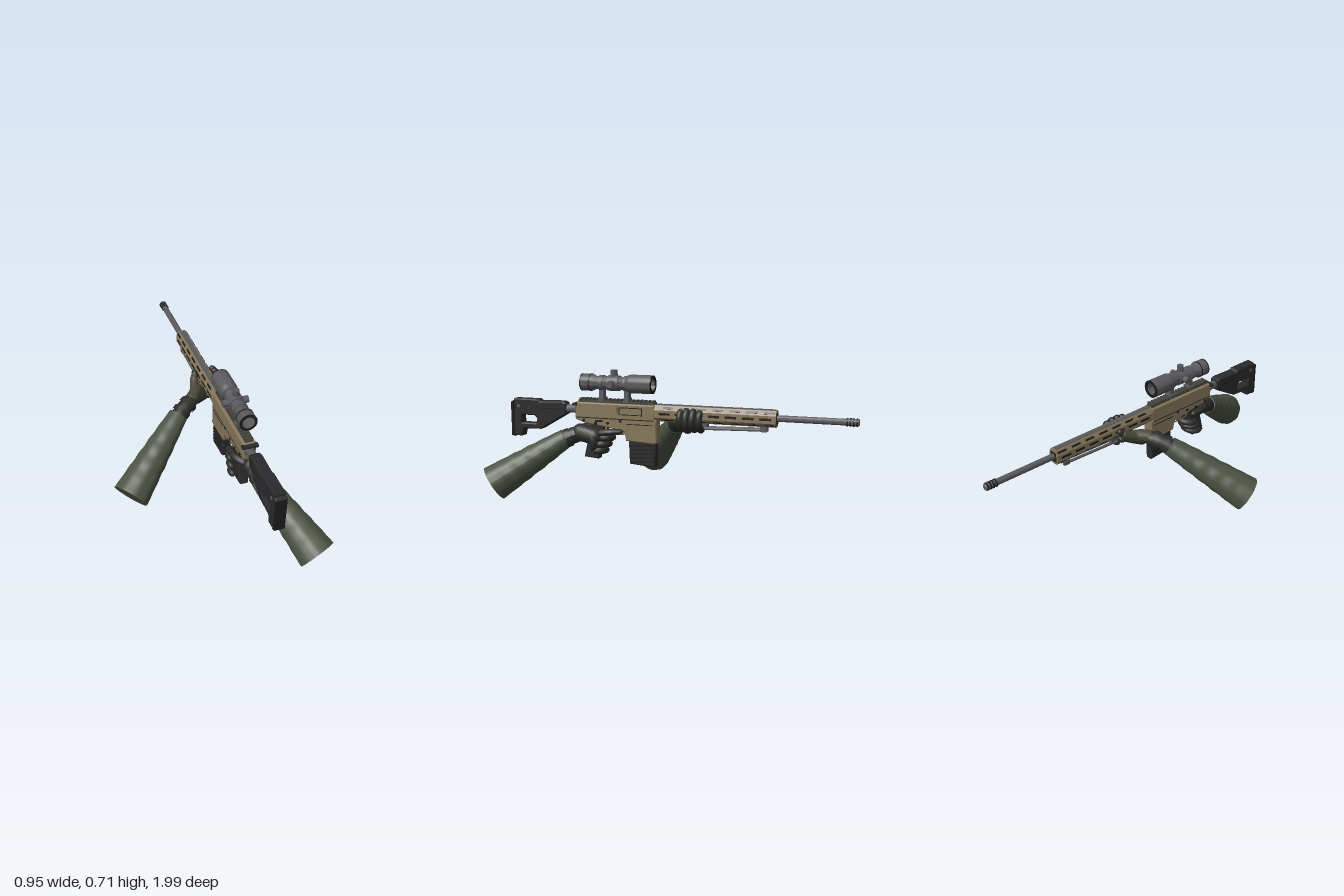
import * as THREE from 'three';
import { toCreasedNormals } from 'three/addons/utils/BufferGeometryUtils.js';

const mat = (name, color) => Object.assign(new THREE.MeshStandardMaterial({ color }), { name });
const V = (x, y, z) => new THREE.Vector3(x, y, z);

export function createModel() {
  const tan = mat('tan receiver', 0x86765a), metal = mat('grey metal', 0x5a5a5d);
  const black = mat('black polymer', 0x2a2a2c), dark = mat('dark recess', 0x1c1c1c);
  const rail = mat('rail grey', 0x45463f), glove = mat('black glove', 0x2d2d2b);
  const olive = mat('olive glove back', 0x4a4a38), sleeve = mat('green sleeve', 0x4d5345);

  const model = new THREE.Group();
  const rifle = new THREE.Group();
  rifle.name = 'rifle';
  rifle.position.x = 0.165;
  model.add(rifle);

  const add = (parent, name, geo, m, x = 0, y = 0, z = 0) => {
    const mesh = new THREE.Mesh(geo, m);
    mesh.name = name;
    mesh.position.set(x, y, z);
    parent.add(mesh);
    return mesh;
  };
  const box = (name, m, w, h, d, x, y, z) => add(rifle, name, new THREE.BoxGeometry(w, h, d), m, x, y, z);
  // side profile of [z, y] points, extruded across x
  const plate = (name, m, pts, width, hole, bevel = 0.006) => {
    const s = new THREE.Shape(pts.map(p => new THREE.Vector2(...p)));
    if (hole) s.holes.push(new THREE.Path(hole.map(p => new THREE.Vector2(...p))));
    const depth = width - 2 * bevel;
    const g = new THREE.ExtrudeGeometry(s, { depth, bevelSize: bevel, bevelOffset: -bevel, bevelThickness: bevel, bevelSegments: 1 });
    g.translate(0, 0, -depth / 2).rotateY(-Math.PI / 2);
    return add(rifle, name, g, m);
  };
  // round part along z from a profile of [radius, z]
  const turned = (name, m, pts, y, sides = 24) => {
    const g = new THREE.LatheGeometry(pts.map(p => new THREE.Vector2(...p)), sides).rotateX(Math.PI / 2);
    return add(rifle, name, toCreasedNormals(g, 0.6), m, 0, y, 0);
  };
  // tapered round limb through points; radius is a function of t and angle
  const limb = (name, m, pts, radius, domed = true, rings = 24, sides = 14) => {
    const curve = new THREE.CatmullRomCurve3(pts.map(p => V(...p)));
    const g = new THREE.TubeGeometry(curve, rings, 1, sides);
    const pos = g.attributes.position, v = V(0, 0, 0), len = curve.getLength();
    for (let i = 0; i <= rings; i++) {
      const t = i / rings, c = curve.getPointAt(t);
      for (let j = 0; j <= sides; j++) {
        let r = radius(t, j / sides * Math.PI * 2);
        if (domed) {
          const e = Math.min(1, Math.min(t, 1 - t) * len / r);
          r *= Math.sqrt(Math.max(0.0001, 1 - (1 - e) ** 2));
        }
        const k = i * (sides + 1) + j;
        v.fromBufferAttribute(pos, k).sub(c).multiplyScalar(r).add(c);
        pos.setXYZ(k, v.x, v.y, v.z);
      }
    }
    g.computeVertexNormals();
    return add(model, name, g, m);
  };
  const taper = (a, b) => t => a + (b - a) * t;

  // barrel and muzzle brake
  turned('barrel', metal, [[0, -0.95], [0.017, -0.95], [0.017, -0.59], [0.02, -0.56], [0.02, 0.05]], 0.5, 16);
  turned('muzzleBrake', metal, [[0, -1], [0.015, -1], [0.019, -0.995], [0.019, -0.935], [0.016, -0.925]], 0.5, 16);
  for (let i = 0; i < 4; i++)
    turned('muzzlePort', dark, [[0.018, -0.992 + i * 0.016], [0.0215, -0.992 + i * 0.016], [0.0215, -0.985 + i * 0.016], [0.018, -0.985 + i * 0.016]], 0.5, 16);

  // handguard with chamfered section
  const hs = new THREE.Shape([[-0.018, 0.455], [0.018, 0.455], [0.035, 0.475], [0.035, 0.515], [0.02, 0.541], [-0.02, 0.541], [-0.035, 0.515], [-0.035, 0.475]].map(p => new THREE.Vector2(...p)));
  add(rifle, 'handguard', new THREE.ExtrudeGeometry(hs, { depth: 0.655, bevelEnabled: false }), tan, 0, 0, -0.59);
  box('handguardTopStrip', metal, 0.028, 0.006, 0.64, 0, 0.541, -0.262);
  box('handguardMuzzleOpening', dark, 0.046, 0.055, 0.004, 0, 0.498, -0.59);
  for (const s of [-1, 1]) for (let i = 0; i < 7; i++) {
    const z = 0.005 - i * 0.09;
    box('sideSlot', dark, 0.004, 0.012, 0.06, s * 0.0345, 0.496, z);
    box('upperSlot', dark, 0.004, 0.011, 0.055, s * 0.0275, 0.528, z - 0.02).rotation.z = s * 0.52;
    box('lowerSlot', dark, 0.004, 0.009, 0.05, s * 0.0265, 0.465, z - 0.02).rotation.z = -s * 0.7;
  }

  // folded bipod under the handguard
  for (const s of [-1, 1]) {
    const leg = add(rifle, 'bipodLeg', new THREE.CylinderGeometry(0.008, 0.008, 0.36, 10).rotateX(Math.PI / 2), metal, s * 0.016, 0.434, -0.36);
    leg.rotation.x = 0.03;
    box('bipodFoot', metal, 0.016, 0.026, 0.035, s * 0.016, 0.442, -0.525);
  }
  box('bipodMount', metal, 0.04, 0.03, 0.05, 0, 0.445, -0.2);

  // receiver
  plate('upperReceiver', tan, [[0.52, 0.45], [0.52, 0.525], [0.505, 0.538], [0.06, 0.538], [0.06, 0.45]], 0.07);
  plate('lowerReceiver', tan, [[0.52, 0.46], [0.05, 0.46], [0.05, 0.335], [0.06, 0.328], [0.225, 0.338], [0.235, 0.388], [0.3, 0.4], [0.47, 0.425], [0.52, 0.445]], 0.062);
  for (const s of [-1, 1]) {
    box('receiverSeam', dark, 0.004, 0.004, 0.44, s * 0.034, 0.456, 0.29);
    box('magazineWellPanel', dark, 0.003, 0.004, 0.15, s * 0.031, 0.43, 0.145);
    for (const [y, z] of [[0.44, 0.47], [0.425, 0.4], [0.43, 0.33], [0.445, 0.255]])
      add(rifle, 'pin', new THREE.CylinderGeometry(0.008, 0.008, 0.006, 12).rotateZ(Math.PI / 2), dark, s * 0.0315, y, z);
  }
  box('ejectionPortFrame', dark, 0.004, 0.042, 0.135, 0.0345, 0.5, 0.195);
  box('ejectionPortCover', tan, 0.008, 0.032, 0.122, 0.0345, 0.5, 0.195);
  box('caseDeflector', tan, 0.018, 0.03, 0.03, 0.038, 0.505, 0.285);
  box('selector', dark, 0.008, 0.01, 0.04, 0.034, 0.44, 0.38);
  box('chargingHandle', black, 0.085, 0.014, 0.025, 0, 0.525, 0.52);

  // trigger and guard
  plate('triggerGuard', tan, [[0.36, 0.41], [0.345, 0.372], [0.25, 0.365], [0.228, 0.39], [0.228, 0.4]], 0.024,
    [[0.345, 0.405], [0.336, 0.38], [0.255, 0.374], [0.236, 0.398]], 0.001);
  plate('trigger', dark, [[0.3, 0.41], [0.285, 0.41], [0.28, 0.383], [0.288, 0.382]], 0.01, null, 0.001);
  plate('pistolGrip', black, [[0.35, 0.42], [0.43, 0.425], [0.475, 0.235], [0.39, 0.228]], 0.05);

  // magazine with ribs
  plate('magazine', black, [[0.212, 0.35], [0.057, 0.35], [0.06, 0.2], [0.207, 0.213]], 0.05);
  for (const s of [-1, 1]) for (let i = 0; i < 5; i++)
    box('magazineRib', dark, 0.006, 0.007, 0.135, s * 0.025, 0.228 + i * 0.022, 0.134).rotation.x = 0.08;

  // buffer tube and stock
  turned('bufferTube', metal, [[0, 0.5], [0.03, 0.5], [0.03, 0.52], [0.023, 0.53], [0.023, 0.6], [0, 0.6]], 0.495, 16);
  plate('stock', black, [[0.58, 0.465], [0.58, 0.525], [0.6, 0.535], [0.74, 0.53], [0.75, 0.54], [0.9, 0.54], [0.905, 0.33], [0.855, 0.33], [0.845, 0.37], [0.735, 0.375]], 0.06,
    [[0.765, 0.405], [0.855, 0.405], [0.855, 0.45], [0.775, 0.45], [0.758, 0.435]]);
  plate('buttPad', dark, [[0.902, 0.325], [0.902, 0.53], [0.92, 0.52], [0.92, 0.33]], 0.06, null, 0.004);
  for (const s of [-1, 1]) {
    box('stockGroove', dark, 0.003, 0.005, 0.14, s * 0.03, 0.492, 0.67);
    add(rifle, 'stockScrew', new THREE.CylinderGeometry(0.01, 0.01, 0.006, 12).rotateZ(Math.PI / 2), metal, s * 0.03, 0.5, 0.87);
  }

  // sight rail
  box('sightRail', rail, 0.04, 0.014, 0.44, 0, 0.543, 0.285);
  for (let i = 0; i < 19; i++) box('railTooth', rail, 0.044, 0.011, 0.013, 0, 0.554, 0.078 + i * 0.023);

  // hollow telescopic sight
  const sy = 0.645;
  turned('scopeTube', metal, [[0.035, 0.08], [0.05, 0.08], [0.05, 0.2], [0.047, 0.215], [0.036, 0.235], [0.036, 0.405], [0.046, 0.425], [0.046, 0.485], [0.034, 0.485], [0.033, 0.3], [0.035, 0.08]], sy, 32);
  for (const [z, r] of [[0.484, 0.047], [0.08, 0.05]])
    turned('lensRim', dark, [[0.034, z - 0.003], [r, z - 0.003], [r, z + 0.003], [0.034, z + 0.003], [0.034, z - 0.003]], sy, 32);
  turned('eyepieceGroove', dark, [[0.044, 0.43], [0.0475, 0.43], [0.0475, 0.436], [0.044, 0.436]], sy, 32);
  turned('turretCollar', metal, [[0.035, 0.268], [0.042, 0.268], [0.042, 0.332], [0.035, 0.332]], sy);
  for (const a of [-1, 0, 1]) {
    const t = add(rifle, 'turret', new THREE.CylinderGeometry(0.019, 0.019, 0.034, 16), metal, a * 0.052, sy + (a ? 0 : 0.055), 0.3);
    t.rotation.z = a * Math.PI / 2;
  }
  for (const z of [0.37, 0.225]) {
    box('scopeMount', metal, 0.034, 0.06, 0.028, 0, 0.583, z);
    box('scopeMountClamp', metal, 0.05, 0.022, 0.034, 0, 0.556, z);
    turned('scopeRing', metal, [[0.035, z - 0.013], [0.041, z - 0.013], [0.041, z + 0.013], [0.035, z + 0.013]], sy);
  }

  // sleeves: tapered, gently creased, closed at the elbow
  const arm = (side, wrist, elbow) => {
    const crease = (t, a) => 0.0018 * Math.sin(t * 34 + Math.sin(a * 2) * 1.5) * Math.sin(t * Math.PI) + 0.0015 * Math.sin(a * 9) * t;
    limb(side + 'Sleeve', sleeve, [wrist, elbow], (t, a) => 0.052 + 0.047 * t ** 0.9 + crease(t, a), false, 40, 40);
    const w = V(...wrist), e = V(...elbow), axis = e.clone().sub(w).normalize();
    const cap = add(model, side + 'SleeveEnd', new THREE.CircleGeometry(0.099, 40), sleeve, ...elbow);
    cap.lookAt(e.clone().add(axis));
    const hem = add(model, side + 'SleeveHem', new THREE.TorusGeometry(0.047, 0.007, 8, 28), sleeve, ...wrist);
    hem.lookAt(e);
    const inner = add(model, side + 'CuffOpening', new THREE.CircleGeometry(0.05, 28), sleeve, ...wrist);
    inner.lookAt(w.clone().sub(axis));
  };
  arm('left', [0.212, 0.335, 0.575], [0.383, 0.094, 0.93]);
  arm('right', [-0.055, 0.4, 0.025], [-0.4, 0.137, 0.285]);

  // hand on the pistol grip
  limb('gripWrist', glove, [[0.235, 0.305, 0.62], [0.205, 0.345, 0.55], [0.19, 0.37, 0.48]], taper(0.046, 0.046));
  limb('gripCuffBand', glove, [[0.213, 0.334, 0.572], [0.203, 0.346, 0.545]], () => 0.051, false, 4, 20);
  limb('gripPalm', glove, [[0.185, 0.375, 0.54], [0.195, 0.365, 0.46], [0.205, 0.34, 0.36]], taper(0.05, 0.046));
  limb('gripKnuckleGuard', glove, [[0.222, 0.375, 0.42], [0.225, 0.325, 0.4], [0.21, 0.28, 0.41]], taper(0.024, 0.023));
  limb('gripIndex', glove, [[0.215, 0.375, 0.38], [0.22, 0.385, 0.31], [0.195, 0.388, 0.24]], taper(0.02, 0.014));
  for (let i = 0; i < 3; i++) {
    const y = 0.35 - i * 0.036, z = 0.345 + i * 0.02;
    limb('gripFinger', glove, [[0.215, y, z + 0.03], [0.2, y, z - 0.018], [0.15, y - 0.004, z - 0.024], [0.118, y - 0.008, z + 0.01], [0.125, y - 0.01, z + 0.05]], taper(0.021, 0.017));
  }
  limb('gripThumb', glove, [[0.165, 0.39, 0.5], [0.122, 0.4, 0.44], [0.118, 0.395, 0.35]], taper(0.024, 0.016));

  // hand supporting the handguard
  limb('supportWrist', glove, [[-0.09, 0.375, 0.05], [0, 0.425, -0.01], [0.065, 0.44, -0.06]], taper(0.045, 0.041));
  for (const [a, b] of [[[-0.045, 0.405, 0.02], [-0.02, 0.417, 0.003]], [[0, 0.425, -0.01], [0.025, 0.432, -0.027]]])
    limb('supportCuffBand', glove, [a, b], () => 0.05, false, 4, 20);
  limb('supportPalm', glove, [[0.05, 0.43, -0.05], [0.12, 0.425, -0.09], [0.19, 0.425, -0.13]], taper(0.036, 0.032));
  limb('supportHandBack', olive, [[0.02, 0.437, -0.02], [0.07, 0.452, -0.07], [0.115, 0.452, -0.14]], taper(0.036, 0.032));
  limb('supportThumb', olive, [[0.08, 0.45, -0.09], [0.095, 0.475, -0.15], [0.108, 0.5, -0.185]], taper(0.027, 0.02));
  limb('supportThumbTip', glove, [[0.104, 0.48, -0.165], [0.112, 0.505, -0.19], [0.118, 0.515, -0.205]], taper(0.021, 0.016));
  for (let i = 0; i < 4; i++) {
    const z = -0.09 - i * 0.035, k = i % 3 ? 0.008 : 0;
    limb('supportFinger', glove, [[0.13, 0.425, z + 0.015], [0.195, 0.424, z], [0.23 + k, 0.455, z], [0.228 + k, 0.5, z], [0.203, 0.525 + k, z]], taper(0.02, 0.017));
  }
  return model;
}
